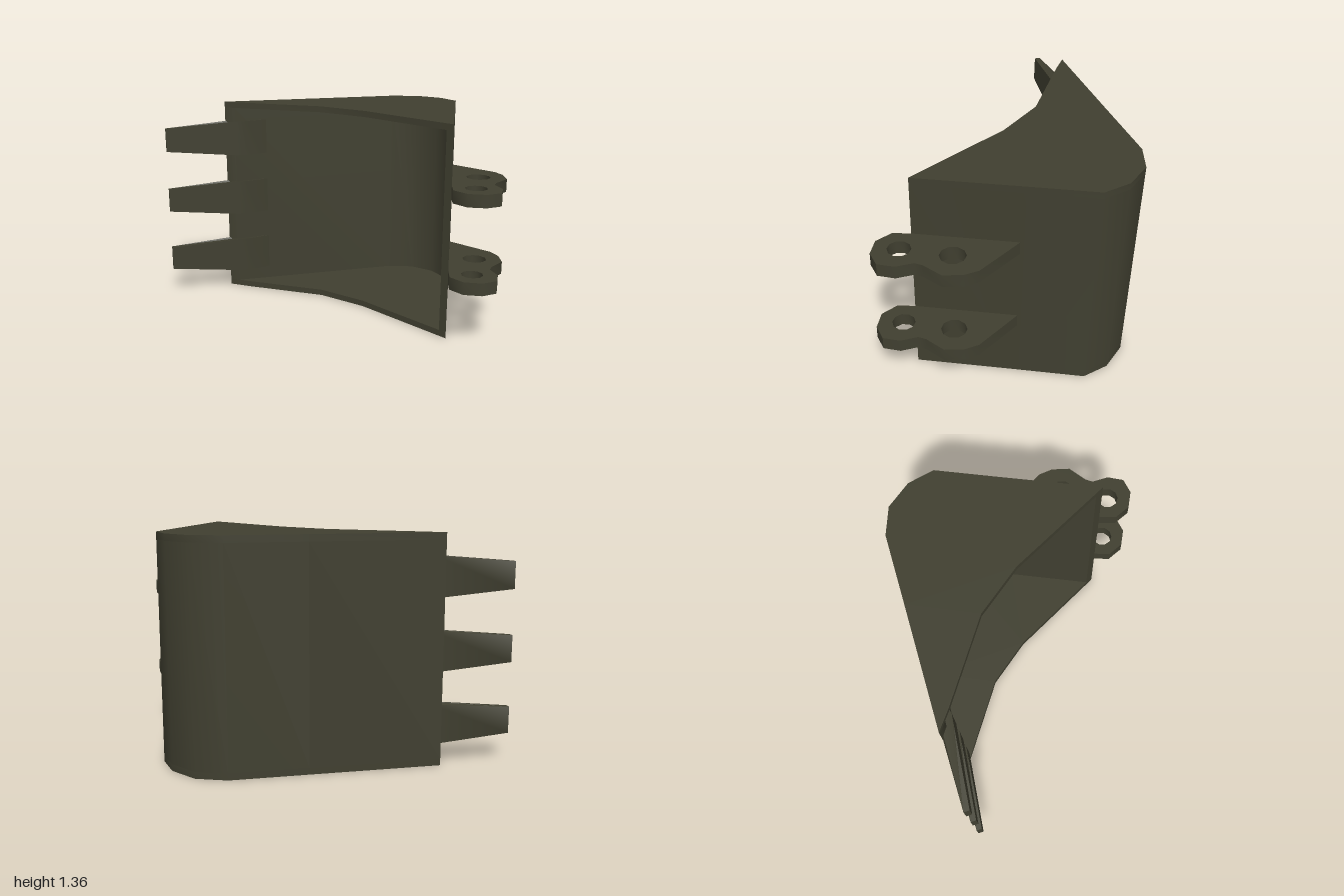
import * as THREE from 'three';
import { toCreasedNormals } from 'three/addons/utils/BufferGeometryUtils.js';

const HEIGHT = 1.36;
const WALL = 0.04;

// Outer back of the bucket as [x, z], from the cutting edge round to the upper lip
const OUTER = [
  [-0.58, -0.8], [0.2, -0.79], [0.66, -0.785], [0.84, -0.72], [0.96, -0.57],
  [1.0, -0.4], [0.825, -0.02], [0.57, 0.54],
];
// Inner face of the same wall, from the upper lip back to the cutting edge
const INNER = [
  [0.545, 0.49], [0.957, -0.4], [0.925, -0.55], [0.815, -0.685],
  [0.65, -0.745], [-0.52, -0.757],
];
// Open rim of the side plates
const RIM = [[0.23, -0.11], [0.01, -0.39], [-0.46, -0.71]];

const toPoints = (list) => list.map(([x, z]) => new THREE.Vector2(x, z));

// Extrudes an [x, z] outline upward between two heights
function slab(outline, y0, y1, holes = []) {
  const shape = new THREE.Shape(toPoints(outline));
  for (const [x, z, r] of holes) {
    const ring = [];
    for (let i = 0; i < 10; i++) {
      const a = (i / 10) * Math.PI * 2;
      ring.push([x + r * Math.cos(a), z + r * Math.sin(a)]);
    }
    shape.holes.push(new THREE.Path(toPoints(ring)));
  }
  const geo = new THREE.ExtrudeGeometry(shape, { depth: y1 - y0, bevelEnabled: false });
  geo.rotateX(Math.PI / 2);
  geo.translate(0, y1, 0);
  return geo;
}

// Wedge tooth whose width tapers toward the tip
function toothGeometry() {
  const geo = slab([
    [-1, -0.8], [-0.52, -0.796], [-0.26, -0.78], [-0.26, -0.765],
    [-0.46, -0.71], [-0.52, -0.716], [-1, -0.765],
  ], -0.5, 0.5);
  const pos = geo.attributes.position;
  for (let i = 0; i < pos.count; i++) {
    const t = Math.min(1, (pos.getX(i) + 1) / 0.48);
    pos.setY(i, pos.getY(i) * (0.16 + 0.08 * t));
  }
  return geo;
}

export function createModel() {
  const group = new THREE.Group();
  group.name = 'excavatorBucket';
  const steel = new THREE.MeshStandardMaterial({ color: 0x403f30 });
  steel.name = 'darkOliveSteel';

  const add = (name, geo, y = 0) => {
    const mesh = new THREE.Mesh(toCreasedNormals(geo, 0.75), steel);
    mesh.name = name;
    mesh.position.y = y;
    group.add(mesh);
  };

  // Curved back wall and the two side plates
  add('backWall', slab([...OUTER, ...INNER], WALL, HEIGHT - WALL));
  add('lowerSidePlate', slab([...OUTER, ...RIM], 0, WALL));
  add('upperSidePlate', slab([...OUTER, ...RIM], HEIGHT - WALL, HEIGHT));

  // Three digging teeth
  for (const y of [0.25, 0.68, 1.11]) add('tooth', toothGeometry(), y);

  // Two mounting ears, each with two pin holes
  const ear = [
    [0.82, -0.02], [0.99, 0.27], [1.0, 0.36], [0.97, 0.47], [0.86, 0.545],
    [0.83, 0.585], [0.83, 0.69], [0.78, 0.78], [0.68, 0.795], [0.58, 0.745],
    [0.535, 0.64], [0.57, 0.54],
  ];
  for (const y of [0.41, 0.95]) {
    add('mountingEar', slab(ear, -0.04, 0.04, [[0.825, 0.37, 0.076], [0.685, 0.635, 0.068]]), y);
  }
  return group;
}
